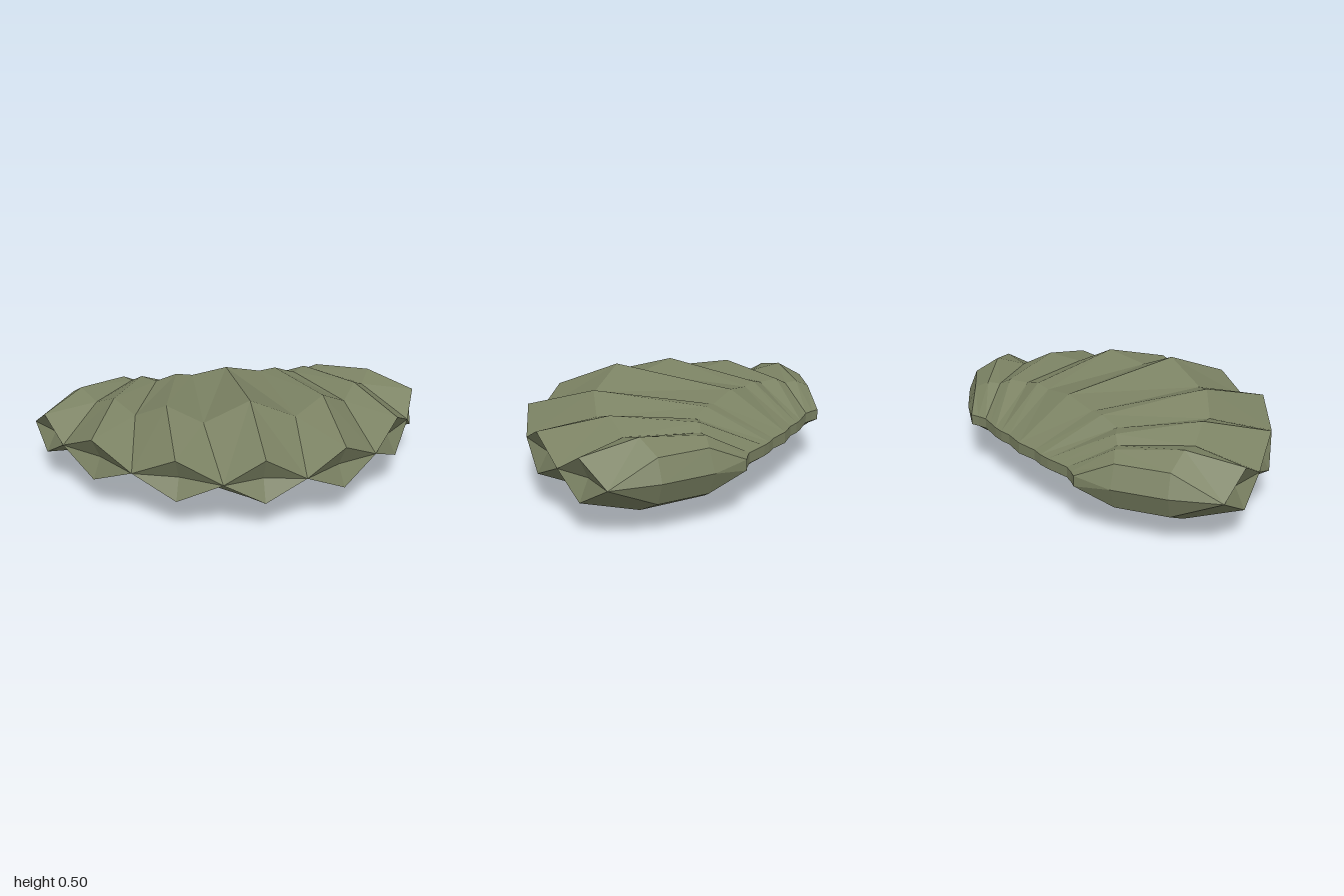
import * as THREE from 'three';

const MID = 0.2525; // height of the seam between the two valves

// Ribs from the centre ridge outwards, alternating ridge and valley.
// Each holds [x, height above seam, z] at hinge, inner ring, outer ring and rim.
const RIBS = [
  [[0, 0.027, -0.64], [0, 0.2, -0.355], [0, 0.2525, 0.283], [0, 0.105, 0.64]],
  [[0.11, 0.025, -0.625], [0.18, 0.17, -0.35], [0.22, 0.155, 0.28], [0.19, 0, 0.636]],
  [[0.17, 0.025, -0.632], [0.265, 0.18, -0.355], [0.38, 0.215, 0.18], [0.39, 0.1, 0.557]],
  [[0.225, 0.025, -0.63], [0.37, 0.15, -0.35], [0.52, 0.135, 0.075], [0.575, 0, 0.435]],
  [[0.29, 0.025, -0.62], [0.44, 0.16, -0.41], [0.61, 0.183, -0.05], [0.74, 0.1, 0.255]],
  [[0.35, 0.025, -0.612], [0.49, 0.13, -0.44], [0.69, 0.125, -0.17], [0.87, 0, 0.055]],
  [[0.4, 0.025, -0.625], [0.53, 0.138, -0.485], [0.76, 0.163, -0.29], [0.95, 0.1, -0.11]],
  [[0.44, 0.025, -0.64], [0.585, 0.103, -0.53], [0.8, 0.103, -0.4], [1, 0, -0.28]],
  // outermost side seam
  [[0.44, 0, -0.64], [0.605, 0, -0.568], [0.825, 0, -0.435], [1, 0, -0.28]],
];

// Full column of a rib: hinge seam, the four rings, then the rim seam (tucked in under ridges)
function column(rib) {
  const [hinge, , , rim] = rib;
  const tuck = rim[1] > 0 ? 0.05 : 0;
  const len = Math.hypot(rim[0], rim[2] + 0.4);
  const rimSeam = [rim[0] - (tuck * rim[0]) / len, 0, rim[2] - (tuck * (rim[2] + 0.4)) / len];
  return [[hinge[0], 0, hinge[2]], ...rib, rimSeam];
}

// One valve; side is 1 for the upper and -1 for the lower
function valveGeometry(side) {
  const positions = [];
  const tri = (a, b, c, flip) => {
    const pts = (flip ? [a, c, b] : [a, b, c]).map(
      ([x, y, z]) => new THREE.Vector3(x, MID + y * side, z));
    const area = new THREE.Triangle(...pts).getArea();
    if (area > 1e-6) pts.forEach((p) => positions.push(p.x, p.y, p.z));
  };
  const columns = RIBS.map(column);
  for (const mirror of [1, -1]) {
    const flip = mirror * side < 0;
    const at = (j, i) => {
      const [x, y, z] = columns[j][i];
      return [x * mirror, y, z];
    };
    for (let j = 0; j < columns.length - 1; j++) {
      for (let i = 0; i < columns[j].length - 1; i++) {
        const a = at(j, i), b = at(j + 1, i), c = at(j + 1, i + 1), d = at(j, i + 1);
        tri(a, d, c, flip);
        tri(a, c, b, flip);
      }
    }
  }
  const geometry = new THREE.BufferGeometry();
  geometry.setAttribute('position', new THREE.Float32BufferAttribute(positions, 3));
  geometry.computeVertexNormals();
  return geometry;
}

export function createModel() {
  const shell = new THREE.MeshStandardMaterial({ color: 0x7b8263, flatShading: true });
  shell.name = 'olive shell';

  const group = new THREE.Group();
  group.name = 'scallopShell';
  for (const [name, side] of [['upperValve', 1], ['lowerValve', -1]]) {
    const valve = new THREE.Mesh(valveGeometry(side), shell);
    valve.name = name;
    group.add(valve);
  }
  return group;
}
